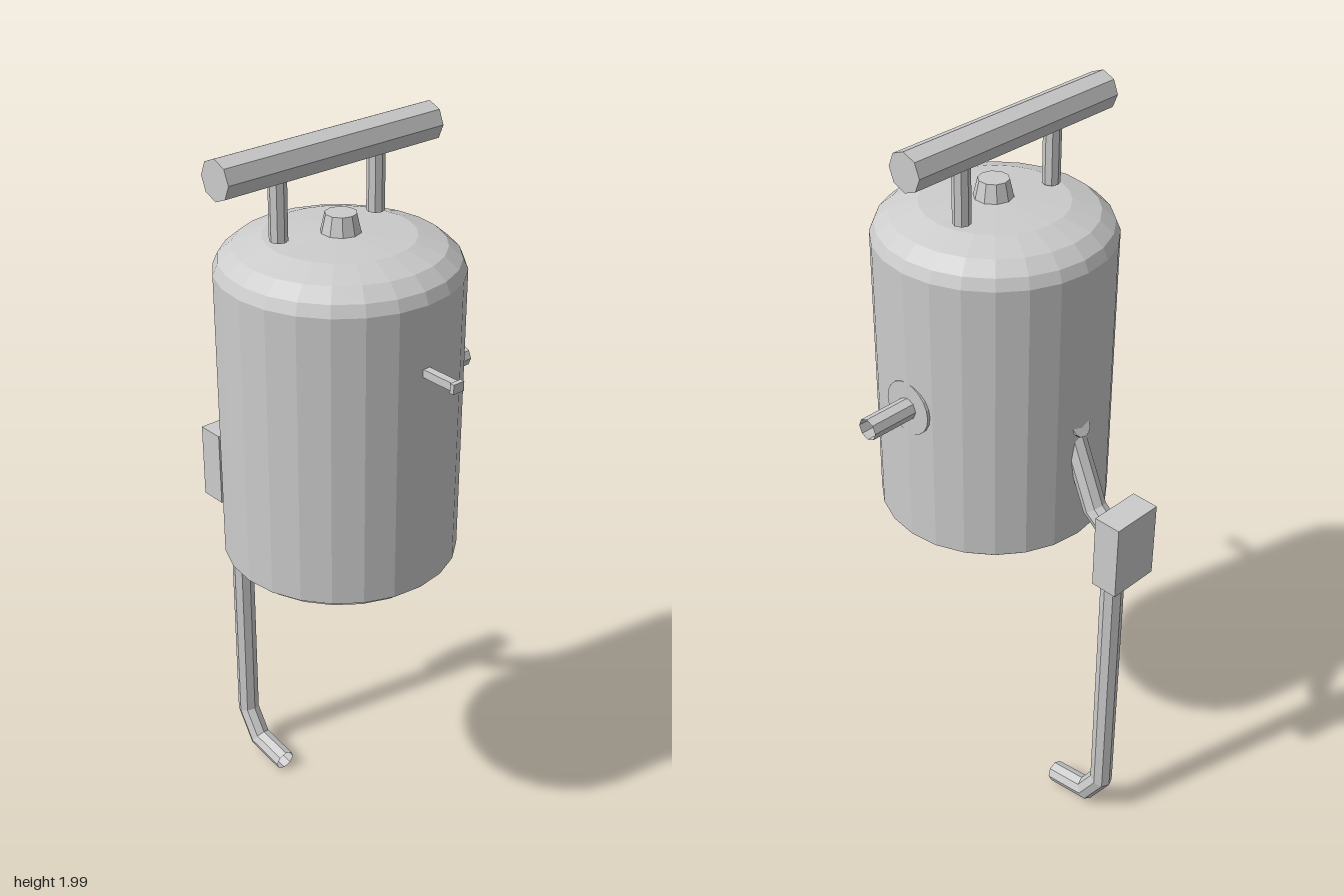
import * as THREE from 'three';

const CX = -0.055, CZ = 0.043; // tank axis

export function createModel() {
  const model = new THREE.Group();
  const metal = new THREE.MeshStandardMaterial({ color: 0xcccccc, flatShading: true, side: THREE.DoubleSide });
  metal.name = 'light grey metal';

  const add = (name, geometry, x = 0, y = 0, z = 0) => {
    const mesh = new THREE.Mesh(geometry, metal);
    mesh.name = name;
    mesh.position.set(x, y, z);
    model.add(mesh);
    return mesh;
  };

  // Tank with domed top and narrower base rim
  const profile = [
    [0, 0.92], [0.272, 0.92], [0.272, 0.94], [0.296, 0.94], [0.296, 1.685],
    [0.284, 1.713], [0.25, 1.742], [0.18, 1.765], [0, 1.775],
  ].map(([r, y]) => new THREE.Vector2(r, y));
  add('tank', new THREE.LatheGeometry(profile, 24), CX, 0, CZ);
  add('topCap', new THREE.CylinderGeometry(0.038, 0.052, 0.06, 10), CX, 1.787, CZ + 0.004);

  // Carrying handle on two posts
  add('handleBar', new THREE.CylinderGeometry(0.048, 0.048, 0.632, 8), -0.054, 1.952, 0).rotation.z = Math.PI / 2;
  for (const side of [-1, 1]) {
    add('handlePost', new THREE.CylinderGeometry(0.022, 0.022, 0.155, 8), -0.053 + side * 0.147, 1.85, 0);
  }

  // Open side outlet with its flange
  add('sideOutlet', new THREE.CylinderGeometry(0.028, 0.028, 0.147, 8, 1, true), 0.295, 1.322, 0.042).rotation.z = Math.PI / 2;
  add('sideFlange', new THREE.CylinderGeometry(0.07, 0.07, 0.01, 20), 0.235, 1.322, CZ).rotation.z = Math.PI / 2;

  // Front pin
  add('pin', new THREE.BoxGeometry(0.02, 0.02, 0.12), CX, 1.522, 0.38);
  add('pinHead', new THREE.BoxGeometry(0.032, 0.024, 0.012), CX, 1.522, 0.435);

  // Bent drain pipe, running through the valve box
  const path = [[1.24, -0.222], [1.05, -0.305], [0.995, -0.375], [0.138, -0.377], [0.055, -0.325], [0.036, -0.208]];
  add('drainPipe', mitredPipe(path, 0.03, 8), CX, 0, 0);
  add('valveBox', new THREE.BoxGeometry(0.14, 0.205, 0.074), CX, 0.987, -0.405);

  // Small lip on the tank above the drain
  add('drainLip', new THREE.CylinderGeometry(0.028, 0.028, 0.006, 12), CX, 1.267, -0.248).rotation.x = -Math.PI / 3;

  return model;
}

// Open pipe through [y, z] points with mitred corners
function mitredPipe(path, radius, sides) {
  const points = path.map(([y, z]) => new THREE.Vector2(y, z));
  const positions = [], index = [];
  points.forEach((p, i) => {
    const before = p.clone().sub(points[Math.max(i - 1, 0)]).normalize();
    const after = points[Math.min(i + 1, points.length - 1)].clone().sub(p).normalize();
    const tangent = before.clone().add(after).normalize();
    const stretch = 1 / tangent.dot(i ? before : after);
    for (let j = 0; j < sides; j++) {
      const a = (j / sides) * Math.PI * 2;
      const s = Math.sin(a) * radius * stretch;
      positions.push(Math.cos(a) * radius, p.x - tangent.y * s, p.y + tangent.x * s);
      if (i) {
        const k = (j + 1) % sides, lo = (i - 1) * sides, hi = i * sides;
        index.push(lo + j, lo + k, hi + j, lo + k, hi + k, hi + j);
      }
    }
  });
  const geometry = new THREE.BufferGeometry();
  geometry.setAttribute('position', new THREE.Float32BufferAttribute(positions, 3));
  geometry.setIndex(index);
  geometry.computeVertexNormals();
  return geometry;
}
